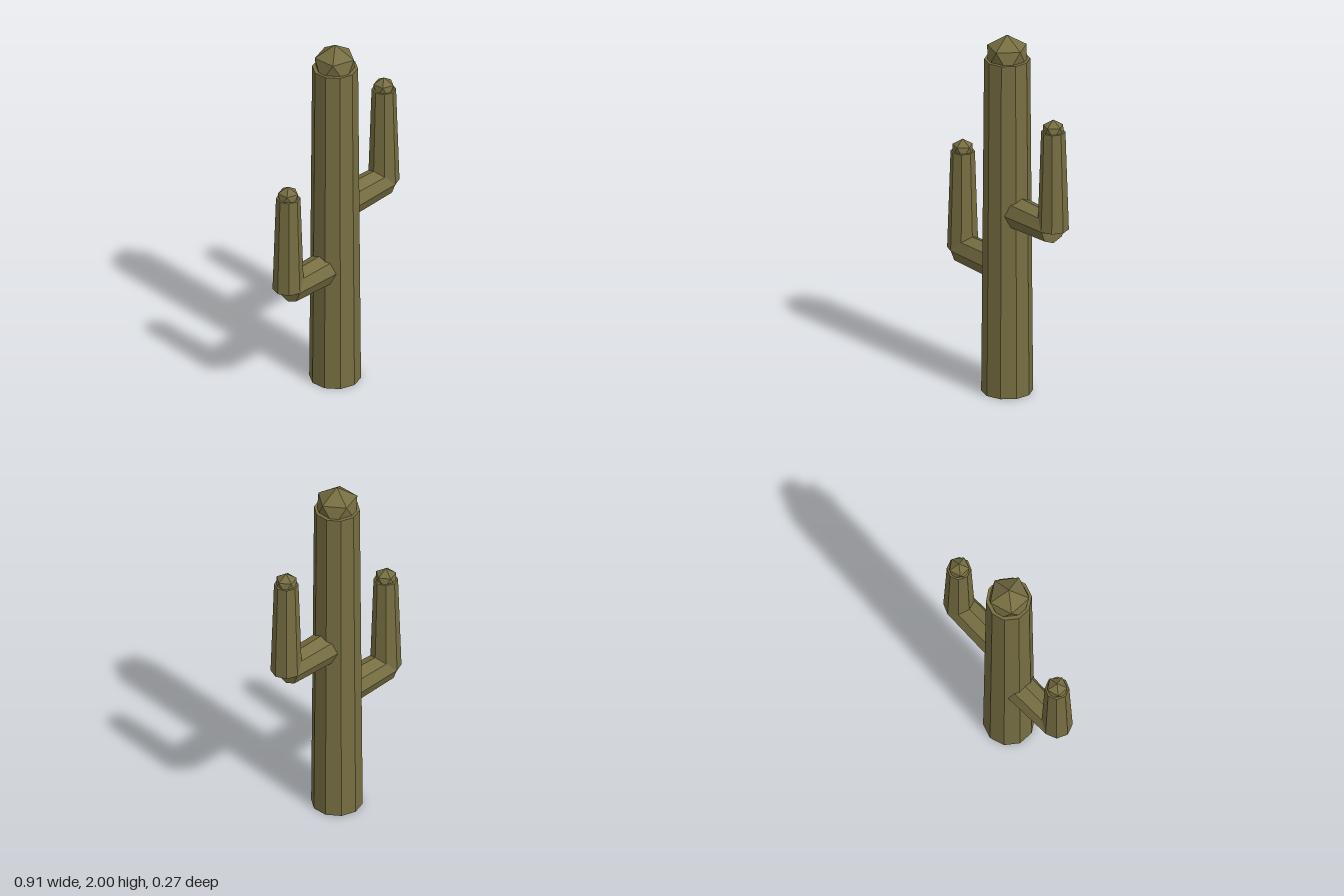
import * as THREE from 'three';

const cactusOlive = new THREE.MeshStandardMaterial({ color: 0x776e42, flatShading: true });
cactusOlive.name = 'cactusOlive';

function part(name, geometry, x, y, parent) {
  const mesh = new THREE.Mesh(geometry, cactusOlive);
  mesh.name = name;
  mesh.position.set(x, y, 0);
  parent.add(mesh);
  return mesh;
}

// Faceted tip: icosahedron turned so one corner points straight up
function tipGeometry(radius) {
  return new THREE.IcosahedronGeometry(radius, 0).rotateZ(-Math.atan(2 / (1 + Math.sqrt(5))));
}

// Elbowed arm: horizontal branch out of the trunk, upright and tip
function addArm(name, side, elbowY, topY, parent) {
  const arm = new THREE.Group();
  arm.name = name;
  parent.add(arm);
  const reach = 0.373;
  const branch = new THREE.CylinderGeometry(0.081, 0.091, reach, 8).rotateZ(-side * Math.PI / 2);
  part(name + 'Branch', branch, side * reach / 2, elbowY, arm);
  const height = topY - elbowY;
  part(name + 'Upright', new THREE.CylinderGeometry(0.064, 0.082, height, 8), side * reach, elbowY + height / 2, arm);
  part(name + 'Tip', tipGeometry(0.062), side * reach, topY + 0.005, arm);
}

export function createModel() {
  const cactus = new THREE.Group();
  cactus.name = 'cactus';

  // Ten-sided, slightly tapered trunk with its tip
  const trunkX = -0.007;
  const trunkHeight = 1.866;
  part('trunk', new THREE.CylinderGeometry(0.121, 0.136, trunkHeight, 10), trunkX, trunkHeight / 2, cactus);
  part('trunkTip', tipGeometry(0.121), trunkX, 1.879, cactus);

  addArm('leftArm', 1, 1.025, 1.573, cactus);
  addArm('rightArm', -1, 0.689, 1.234, cactus);
  return cactus;
}
